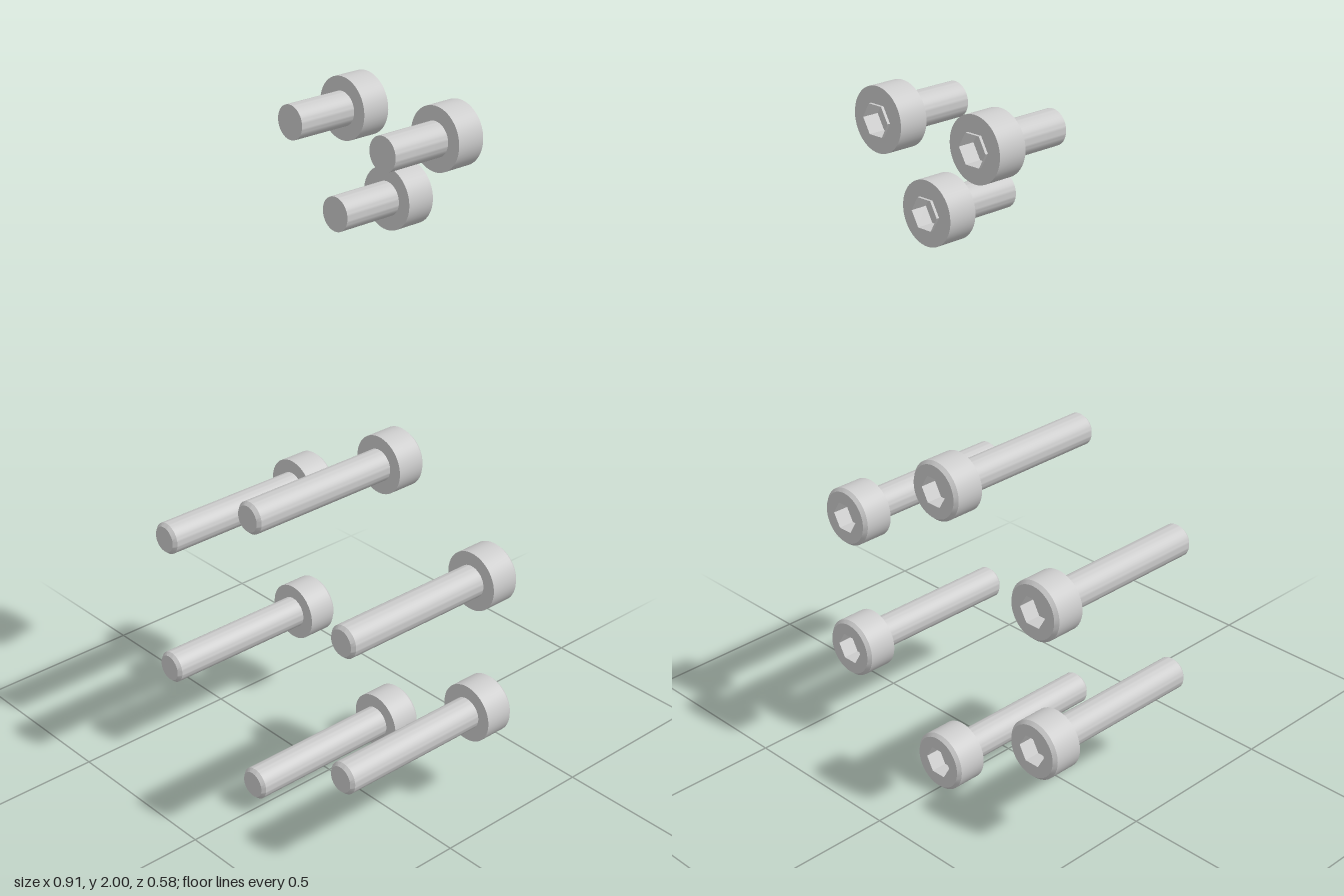
import * as THREE from 'three';
import { toCreasedNormals, mergeGeometries } from 'three/addons/utils/BufferGeometryUtils.js';

const material = new THREE.MeshStandardMaterial({ color: 0xcccccc });
const thinMaterial = new THREE.MeshStandardMaterial({ color: 0xcccccc, side: THREE.DoubleSide });
const SEGMENTS = 48;
const HEX = 0.0455; // socket corner radius

// Turned body along z from [radius, z] pairs, head to tip
function turned(pairs) {
  const points = pairs.map(([r, z]) => new THREE.Vector2(r, z));
  const geometry = new THREE.LatheGeometry(points, SEGMENTS).rotateX(Math.PI / 2);
  return toCreasedNormals(geometry, 0.5);
}

// Flat head face with a hexagonal opening, facing -z
function headFace(radius, z) {
  const shape = new THREE.Shape().absarc(0, 0, radius, 0, Math.PI * 2);
  const corners = [];
  for (let i = 0; i < 6; i++) {
    const a = -i * Math.PI / 3;
    corners.push(new THREE.Vector2(HEX * Math.cos(a), HEX * Math.sin(a)));
  }
  shape.holes.push(new THREE.Path(corners));
  return new THREE.ShapeGeometry(shape, SEGMENTS / 2).rotateY(Math.PI).translate(0, 0, z);
}

// Hexagonal socket: six walls and a floor
function socket(top, floor) {
  const walls = new THREE.CylinderGeometry(HEX, HEX, floor - top, 6, 1, true, Math.PI / 6)
    .rotateX(Math.PI / 2).translate(0, 0, (top + floor) / 2);
  const base = new THREE.CircleGeometry(HEX, 6).rotateY(Math.PI).translate(0, 0, floor);
  return toCreasedNormals(mergeGeometries([walls, base]), 0.3);
}

function buildScrew(name, parts, x, y) {
  const screw = new THREE.Group();
  screw.name = name;
  const add = (label, geometry, mat) => {
    const mesh = new THREE.Mesh(geometry, mat);
    mesh.name = label;
    screw.add(mesh);
  };
  add('screwBody', parts.body, material);
  add('headFace', parts.face, material);
  add('hexSocket', parts.socket, thinMaterial);
  screw.position.set(x, y, 0);
  return screw;
}

export function createModel() {
  const model = new THREE.Group();
  model.name = 'screwSet';

  // Long screws: chamfered head and tip
  const long = {
    body: turned([[0.077, -0.278], [0.086, -0.268], [0.086, -0.183], [0.047, -0.183],
      [0.047, 0.28], [0.038, 0.29], [0, 0.29]]),
    face: headFace(0.077, -0.278),
    socket: socket(-0.278, -0.23),
  };
  // Short screws: plain edges, socket rim standing slightly proud
  const short = {
    body: turned([[0.086, -0.285], [0.086, -0.2], [0.047, -0.2], [0.047, -0.02], [0, -0.02]]),
    face: headFace(0.086, -0.285),
    socket: socket(-0.293, -0.245),
  };

  // Ring of six long screws
  const ring = [[0, 0.94], [0.368, 0.727], [0.368, 0.303], [0, 0.09], [-0.368, 0.303], [-0.368, 0.727]];
  for (const [x, y] of ring) model.add(buildScrew('longScrew', long, x, y));

  // Triangle of three short screws
  const triangle = [[-0.173, 1.914], [0.173, 1.914], [0, 1.712]];
  for (const [x, y] of triangle) model.add(buildScrew('shortScrew', short, x, y));

  return model;
}
